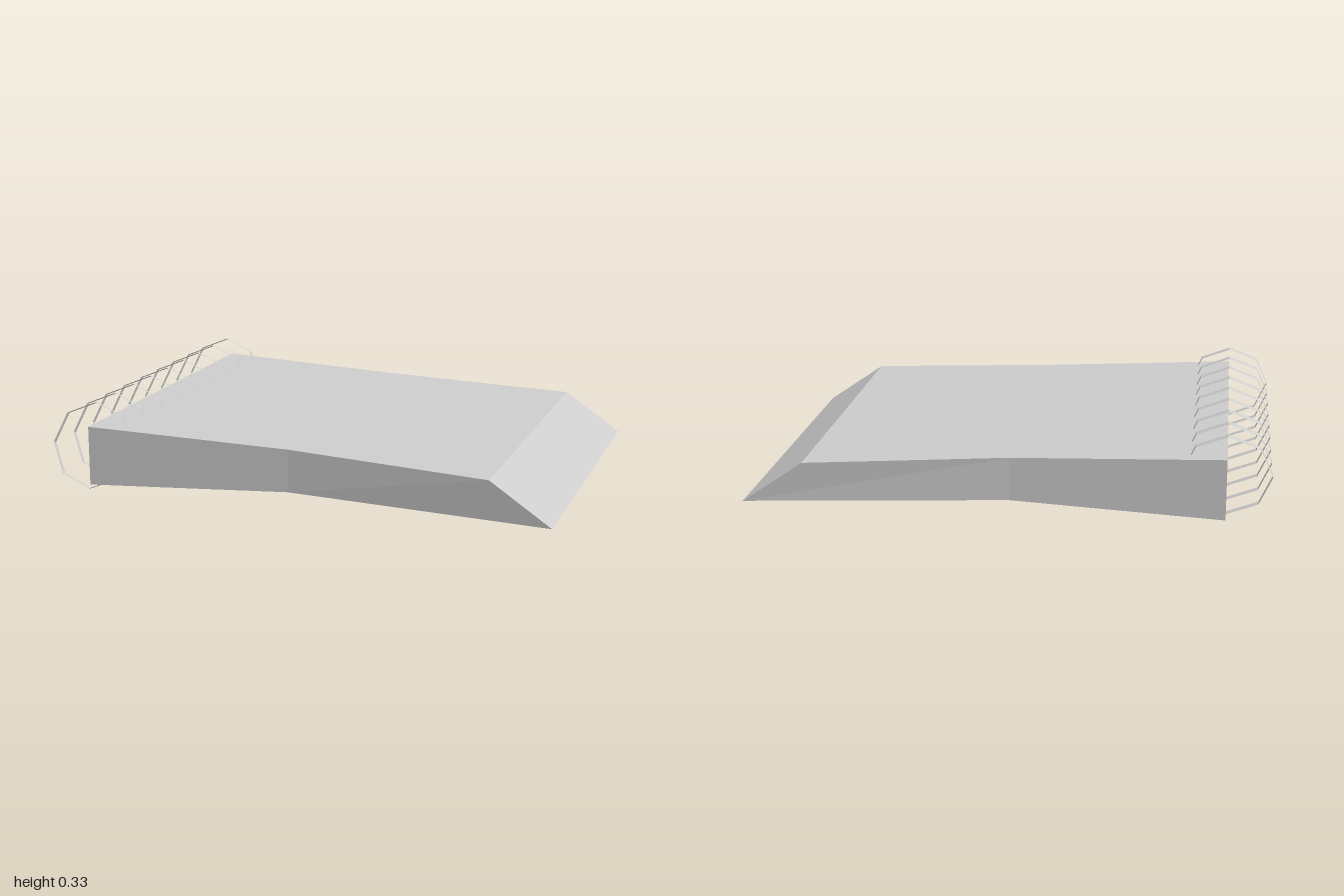
import * as THREE from 'three';

const metal = new THREE.MeshStandardMaterial({ color: 0xcccccc, flatShading: true, side: THREE.DoubleSide });
const paper = new THREE.MeshStandardMaterial({ color: 0xcccccc, flatShading: true });

// Pad of pages: three cross-sections from the spine to the bevelled free edge
function createPages() {
  const sections = [
    { bottom: [-0.83, 0.022], top: [-0.83, 0.255], half: 0.738 },
    { bottom: [-0.02, 0.055], top: [-0.02, 0.222], half: 0.702 }, // pinched middle
    { bottom: [1.0, 0.022], top: [0.765, 0.183], half: 0.738 },
  ];
  const zMid = -0.006;
  const positions = [];
  for (const { bottom, top, half } of sections) {
    positions.push(...bottom, zMid + half, ...top, zMid + half, ...top, zMid - half, ...bottom, zMid - half);
  }
  const index = [];
  const quad = (a, b, c, d) => index.push(a, b, c, a, c, d);
  for (let s = 0; s < sections.length - 1; s++) {
    for (let i = 0; i < 4; i++) {
      const j = (i + 1) % 4;
      quad(s * 4 + i, s * 4 + 4 + i, s * 4 + 4 + j, s * 4 + j);
    }
  }
  quad(0, 1, 2, 3); // spine
  quad(8, 11, 10, 9); // bevel
  const geometry = new THREE.BufferGeometry();
  geometry.setAttribute('position', new THREE.Float32BufferAttribute(positions, 3));
  geometry.setIndex(index);
  const flat = geometry.toNonIndexed();
  flat.computeVertexNormals();
  const mesh = new THREE.Mesh(flat, paper);
  mesh.name = 'pages';
  return mesh;
}

// Binding: a row of tilted eight-sided wire bands along the spine
function createBinding() {
  const binding = new THREE.Group();
  binding.name = 'binding';
  const band = new THREE.CylinderGeometry(0.169, 0.169, 0.021, 8, 1, true);
  for (let i = 0; i < 9; i++) {
    const ring = new THREE.Mesh(band, metal);
    ring.name = `bindingRing${i + 1}`;
    ring.rotation.x = Math.PI / 2 - 0.245;
    ring.position.set(-0.831, 0.17, 0.69 - i * 0.168);
    binding.add(ring);
  }
  return binding;
}

export function createModel() {
  const model = new THREE.Group();
  model.name = 'notebook';
  model.add(createPages(), createBinding());
  return model;
}
